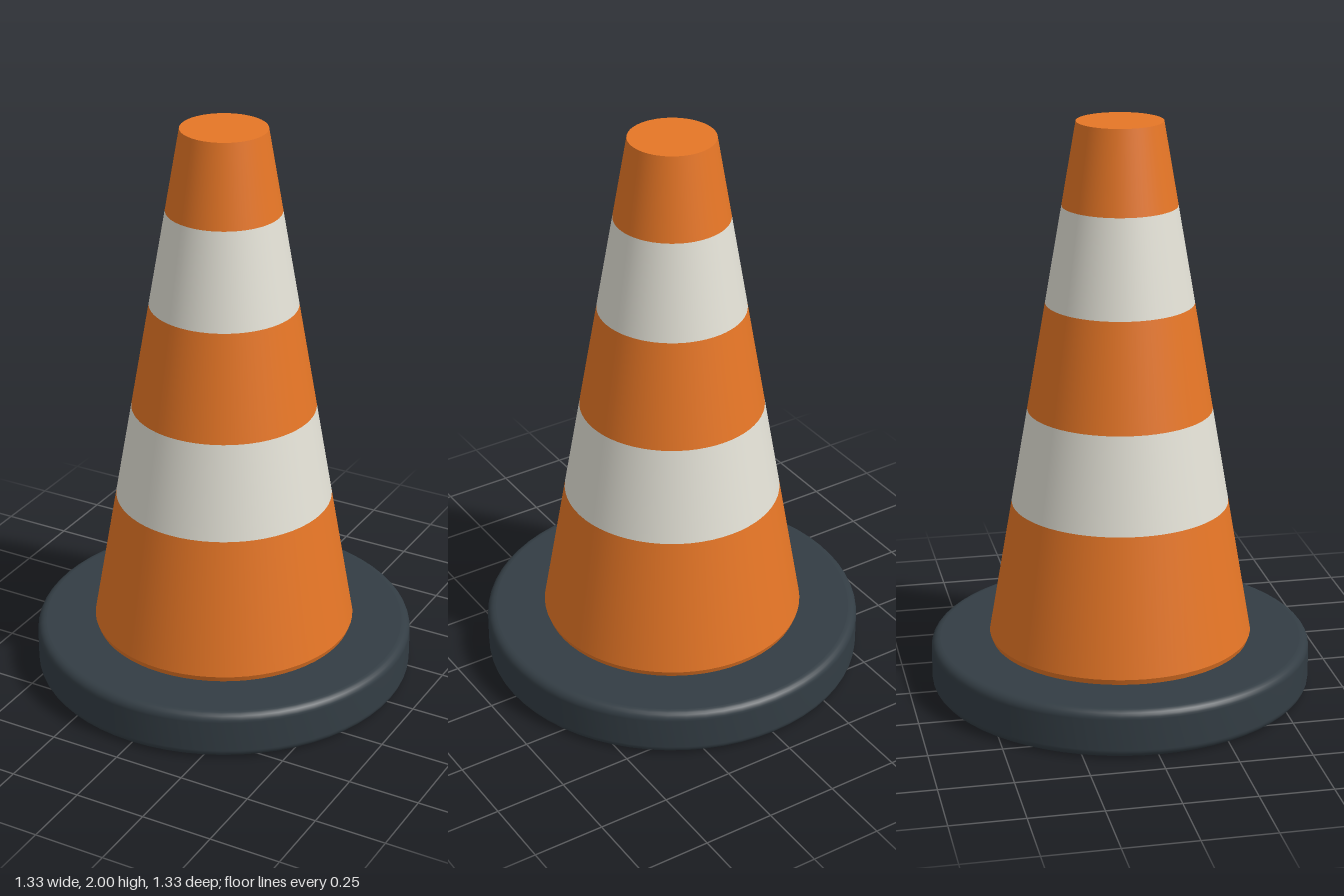
import * as THREE from 'three';

const SEGMENTS = 64;

function material(name, color) {
  const m = new THREE.MeshStandardMaterial({ color });
  m.name = name;
  return m;
}

export function createModel() {
  const orange = material('orange', 0xe67626);
  const white = material('offWhite', 0xe3e1d6);
  const rubber = material('darkRubber', 0x333d44);

  const model = new THREE.Group();
  model.name = 'trafficCone';

  function add(name, geometry, mat, y = 0) {
    const mesh = new THREE.Mesh(geometry, mat);
    mesh.name = name;
    mesh.position.y = y;
    model.add(mesh);
  }

  // Round base: flat underside, softly rounded rims, flat top
  const R = 0.665, H = 0.17, r = 0.03;
  const rim = [];
  for (const [cy, start] of [[r, -Math.PI / 2], [H - r, 0]]) {
    for (let i = 0; i <= 6; i++) {
      const a = start + (i / 6) * Math.PI / 2;
      rim.push(new THREE.Vector2(R - r + r * Math.cos(a), cy + r * Math.sin(a)));
    }
  }
  add('baseRim', new THREE.LatheGeometry(rim, SEGMENTS), rubber);
  const disc = new THREE.CircleGeometry(R - r, SEGMENTS);
  add('baseTop', disc.clone().rotateX(-Math.PI / 2), rubber, H);
  add('baseUnderside', disc.clone().rotateX(Math.PI / 2), rubber, 0);

  // Tapered body, split into coloured bands that share one slope
  const topRadius = 0.147;
  const radiusAt = (y) => topRadius + (2 - y) * 0.1724;
  const levels = [0.19, 0.67, 1.005, 1.38, 1.715, 2];
  const names = ['lowerBody', 'lowerStripe', 'middleBody', 'upperStripe', 'upperBody'];
  names.forEach((name, i) => {
    const [y0, y1] = [levels[i], levels[i + 1]];
    const band = new THREE.CylinderGeometry(radiusAt(y1), radiusAt(y0), y1 - y0, SEGMENTS, 1, true);
    add(name, band, i % 2 ? white : orange, (y0 + y1) / 2);
  });

  // Tucked-in foot where the body meets the base
  const foot = new THREE.CylinderGeometry(radiusAt(0.19), 0.45, 0.025, SEGMENTS, 1, true);
  add('bodyFoot', foot, orange, 0.1775);

  // Flat closed tip
  add('topCap', new THREE.CircleGeometry(topRadius, SEGMENTS).rotateX(-Math.PI / 2), orange, 2);

  return model;
}
